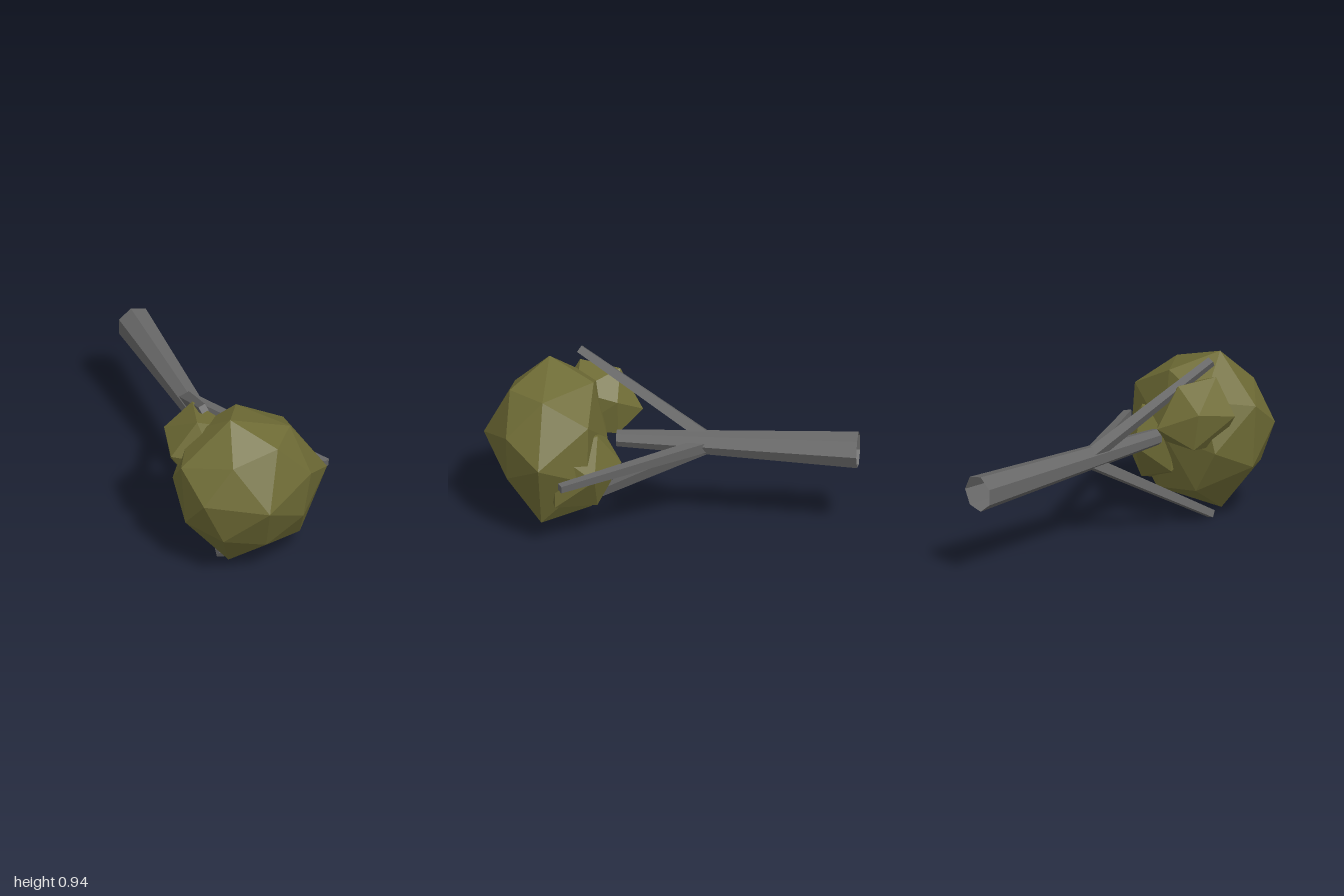
import * as THREE from 'three';

const barkMat = new THREE.MeshStandardMaterial({ color: 0x666666, flatShading: true, side: THREE.DoubleSide });
const leafMat = new THREE.MeshStandardMaterial({ color: 0x6e6b35, flatShading: true });
const AXIS = { x: -0.07, y: 0.5 };

// Faceted clump: rings of n corners around the z axis, closed by a front and a back pole.
// Each ring is { z, phase (degrees), radii (one number or one per corner) }, front to back.
function clump(name, cx, cy, n, front, rings, back) {
  const corner = (ring, k) => {
    const i = k % n;
    const a = THREE.MathUtils.degToRad(ring.phase + (i * 360) / n);
    const r = Array.isArray(ring.radii) ? ring.radii[i] : ring.radii;
    return [cx + r * Math.cos(a), cy + r * Math.sin(a), ring.z];
  };
  const pos = [];
  const tri = (a, b, c) => pos.push(...a, ...b, ...c);
  const last = rings[rings.length - 1];
  for (let k = 0; k < n; k++) {
    tri(front, corner(rings[0], k), corner(rings[0], k + 1));
    tri(back, corner(last, k + 1), corner(last, k));
    for (let j = 0; j + 1 < rings.length; j++) {
      const a0 = corner(rings[j], k), a1 = corner(rings[j], k + 1);
      const b0 = corner(rings[j + 1], k), b1 = corner(rings[j + 1], k + 1);
      tri(a0, b0, b1);
      tri(a0, b1, a1);
    }
  }
  const g = new THREE.BufferGeometry();
  g.setAttribute('position', new THREE.Float32BufferAttribute(pos, 3));
  g.computeVertexNormals();
  const mesh = new THREE.Mesh(g, leafMat);
  mesh.name = name;
  return mesh;
}

// Square tapered branch from root to tip, one pair of sides facing radially.
function branch(name, root, tip) {
  const a = new THREE.Vector3(...root), b = new THREE.Vector3(...tip);
  const len = a.distanceTo(b);
  const g = new THREE.CylinderGeometry(0.028, 0.042, len, 4, 1, false, Math.PI / 4);
  g.rotateX(Math.PI / 2);
  const mesh = new THREE.Mesh(g, barkMat);
  mesh.name = name;
  mesh.up.set(0, 0, 1);
  mesh.position.copy(a).lerp(b, 0.5);
  mesh.lookAt(b);
  return mesh;
}

export function createModel() {
  const group = new THREE.Group();
  group.name = 'fallenTree';

  // Seven-sided open trunk lying along z
  const trunkGeo = new THREE.CylinderGeometry(0.046, 0.1, 1.29, 7, 1, true, Math.PI / 2);
  trunkGeo.rotateX(Math.PI / 2);
  const trunk = new THREE.Mesh(trunkGeo, barkMat);
  trunk.name = 'trunk';
  trunk.position.set(AXIS.x, AXIS.y, -0.355);
  group.add(trunk);

  // Three branches fanning forward
  group.add(
    branch('upperBranch', [-0.085, 0.515, -0.2], [-0.26, 0.922, 0.51]),
    branch('leftBranch', [-0.06, 0.495, -0.2], [0.428, 0.433, 0.54]),
    branch('lowerBranch', [-0.075, 0.48, -0.2], [-0.184, 0.022, 0.58])
  );

  // Main crown and two smaller clumps behind it
  group.add(
    clump('mainFoliage', AXIS.x, AXIS.y, 7, [-0.07, 0.5, 1], [
      { z: 0.85, phase: 20, radii: [0.31, 0.32, 0.28, 0.32, 0.297, 0.288, 0.29] },
      { z: 0.66, phase: 0, radii: [0.455, 0.39, 0.43, 0.416, 0.39, 0.474, 0.48] },
      { z: 0.41, phase: -18.4, radii: [0.35, 0.36, 0.34, 0.33, 0.33, 0.34, 0.37] },
    ], [-0.07, 0.5, 0.34]),
    clump('rightFoliage', -0.245, 0.65, 5, [-0.24, 0.64, 0.635], [
      { z: 0.51, phase: 33, radii: 0.2 },
      { z: 0.29, phase: 16, radii: [0.15, 0.18, 0.165, 0.19, 0.19] },
    ], [-0.21, 0.61, 0.165]),
    clump('leftFoliage', 0.07, 0.41, 5, [0.07, 0.41, 0.7], [
      { z: 0.58, phase: 36, radii: [0.275, 0.22, 0.21, 0.25, 0.275] },
      { z: 0.37, phase: 0, radii: [0.215, 0.205, 0.205, 0.205, 0.22] },
    ], [0.06, 0.42, 0.25])
  );
  return group;
}
